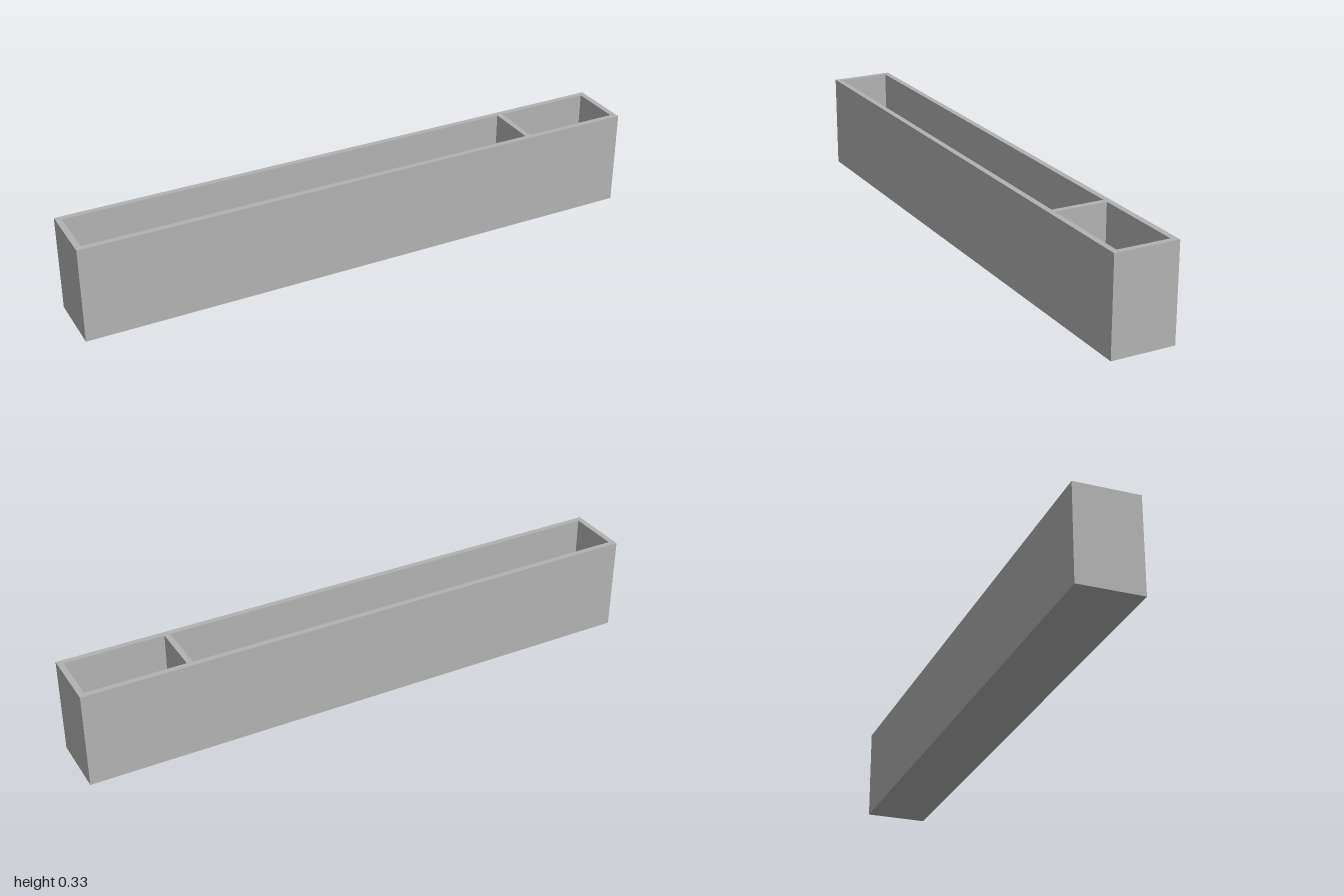
import * as THREE from 'three';

const LENGTH = 2, HEIGHT = 0.333, DEPTH = 0.222, WALL = 0.02;
// x extents of the long and the short compartment
const COMPARTMENTS = [
  { name: 'longCompartmentFloor', x0: -1 + WALL, x1: 0.622 },
  { name: 'shortCompartmentFloor', x0: 0.642, x1: 1 - WALL },
];

function rectangle(target, x0, x1, halfDepth) {
  target.moveTo(x0, -halfDepth);
  target.lineTo(x1, -halfDepth);
  target.lineTo(x1, halfDepth);
  target.lineTo(x0, halfDepth);
  target.closePath();
  return target;
}

export function createModel() {
  const model = new THREE.Group();
  model.name = 'dividedTray';
  const grey = new THREE.MeshStandardMaterial({ color: 0xb2b2b2 });
  grey.name = 'grey';
  const innerHalf = DEPTH / 2 - WALL;

  // Outer walls and divider in one piece
  const outline = rectangle(new THREE.Shape(), -LENGTH / 2, LENGTH / 2, DEPTH / 2);
  for (const { x0, x1 } of COMPARTMENTS) {
    outline.holes.push(rectangle(new THREE.Path(), x0, x1, innerHalf));
  }
  const wallGeometry = new THREE.ExtrudeGeometry(outline, { depth: HEIGHT, bevelEnabled: false });
  wallGeometry.rotateX(-Math.PI / 2);
  const walls = new THREE.Mesh(wallGeometry, grey);
  walls.name = 'wallsAndDivider';
  model.add(walls);

  // Floor of each compartment, flush with the underside
  for (const { name, x0, x1 } of COMPARTMENTS) {
    const floor = new THREE.Mesh(new THREE.BoxGeometry(x1 - x0, WALL, innerHalf * 2), grey);
    floor.name = name;
    floor.position.set((x0 + x1) / 2, WALL / 2, 0);
    model.add(floor);
  }
  return model;
}
